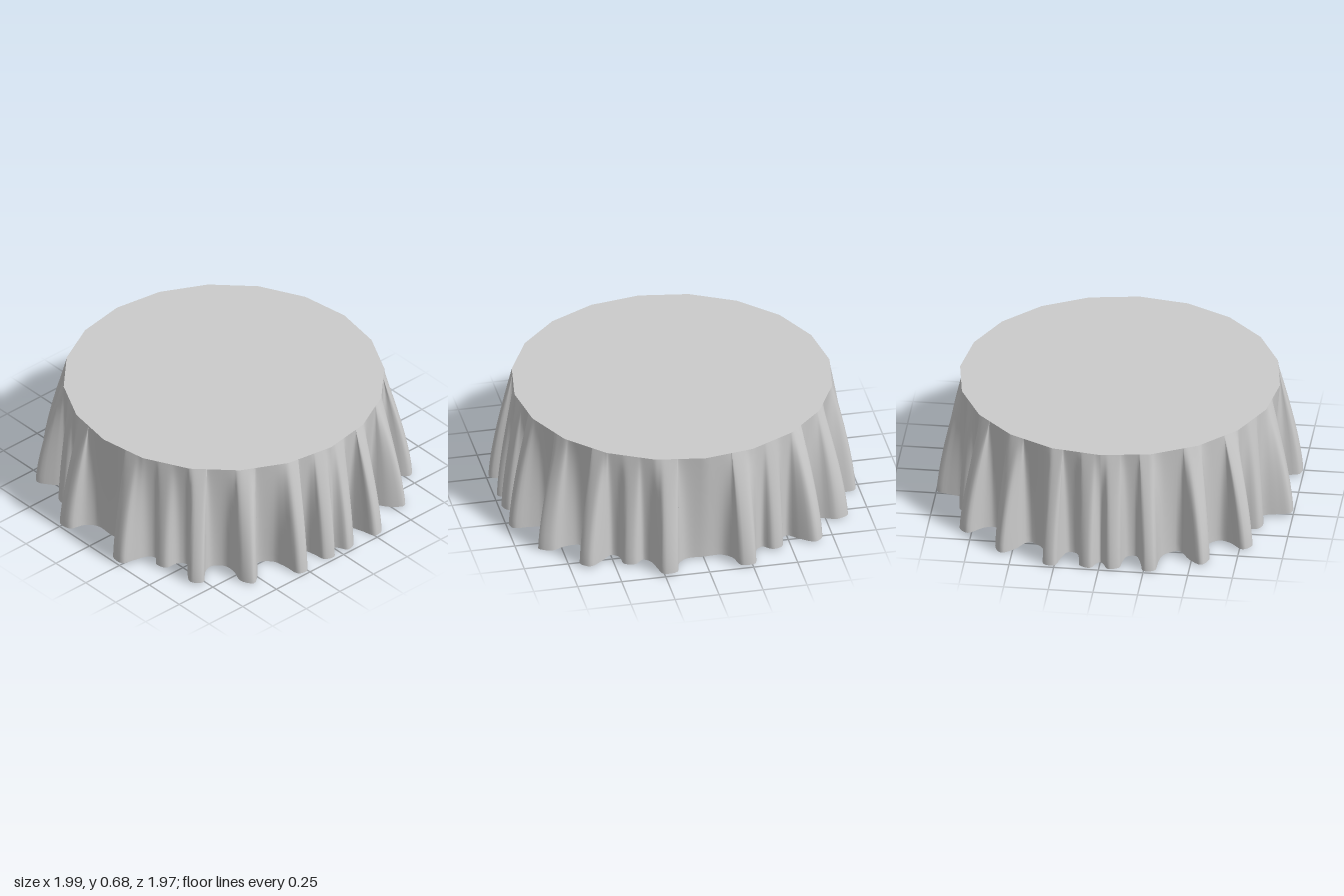
import * as THREE from 'three';

const HEIGHT = 0.68, RADIUS = 0.895, SIDES = 20, ROWS = 14;

// Hem outline [x, z] over one quarter, from the +x axis to the +z axis
const QUARTER = [
  [0.85, 0], [0.85, 0.10],
  [0.90, 0.155], [0.985, 0.18], [0.99, 0.26], [0.92, 0.28],
  [0.84, 0.30], [0.81, 0.34],
  [0.85, 0.39], [0.83, 0.45],
  [0.75, 0.46], [0.72, 0.50],
  [0.77, 0.56], [0.82, 0.64], [0.77, 0.69], [0.69, 0.62],
  [0.63, 0.60], [0.57, 0.65],
  [0.57, 0.73], [0.60, 0.81], [0.56, 0.88], [0.49, 0.83],
  [0.42, 0.74], [0.34, 0.79],
  [0.32, 0.87], [0.31, 0.97], [0.25, 0.98], [0.225, 0.90],
  [0.19, 0.82], [0.14, 0.83],
  [0.12, 0.90], [0.11, 0.96], [0.05, 0.98], [0.02, 0.93],
  [0, 0.91],
];

// Mirror the quarter twice into a closed, smooth hem
function hemPoints() {
  const half = [...QUARTER, ...QUARTER.slice(0, -1).reverse().map(([x, z]) => [-x, z])];
  const full = [...half, ...half.slice(1, -1).reverse().map(([x, z]) => [x, -z])];
  const curve = new THREE.CatmullRomCurve3(
    full.map(([x, z]) => new THREE.Vector3(x, 0.004 + 0.016 * x * x, z)), true);
  return curve.getPoints(full.length * 4).slice(0, -1);
}

// Point on the many-sided rim of the top at a given angle
function rimPoint(angle) {
  const step = (2 * Math.PI) / SIDES;
  const local = (((angle % step) + step) % step) - step / 2;
  const r = (RADIUS * Math.cos(step / 2)) / Math.cos(local);
  return new THREE.Vector3(r * Math.cos(angle), HEIGHT, r * Math.sin(angle));
}

// Cloth surface blended from the rim down to the folded hem
function skirtGeometry() {
  const hem = hemPoints(), n = hem.length;
  const rim = hem.map((p) => rimPoint(Math.atan2(p.z, p.x)));
  const positions = [], indices = [];
  for (let j = 0; j <= ROWS; j++) {
    const t = j / ROWS;
    const spread = 1 - Math.pow(1 - t, 1.4);
    for (let i = 0; i < n; i++) {
      const p = rim[i].clone().lerp(hem[i], spread);
      positions.push(p.x, THREE.MathUtils.lerp(HEIGHT, hem[i].y, t), p.z);
      if (j === ROWS) continue;
      const a = j * n + i, b = j * n + ((i + 1) % n);
      indices.push(a, b, a + n, b, b + n, a + n);
    }
  }
  const geometry = new THREE.BufferGeometry();
  geometry.setAttribute('position', new THREE.Float32BufferAttribute(positions, 3));
  geometry.setIndex(indices);
  geometry.computeVertexNormals();
  return geometry;
}

export function createModel() {
  const group = new THREE.Group();
  group.name = 'tablecloth';
  const material = new THREE.MeshStandardMaterial({ color: 0xcccccc, side: THREE.DoubleSide });

  // Flat round top
  const top = new THREE.Mesh(new THREE.CircleGeometry(RADIUS, SIDES).rotateX(-Math.PI / 2), material);
  top.position.y = HEIGHT;
  top.name = 'clothTop';

  // Hanging folds
  const skirt = new THREE.Mesh(skirtGeometry(), material);
  skirt.name = 'clothSkirt';

  group.add(top, skirt);
  return group;
}
